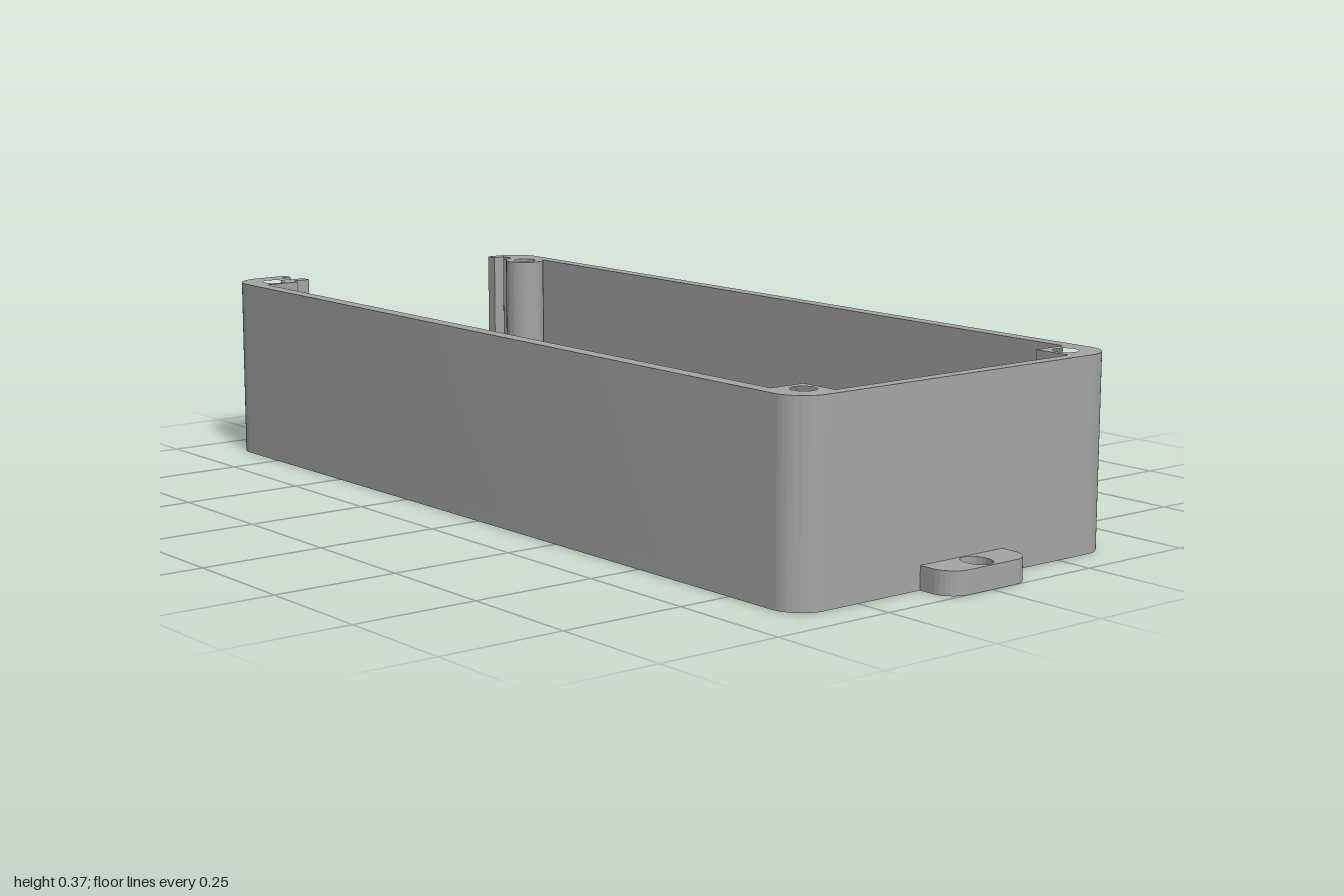
import * as THREE from 'three';
import { toCreasedNormals } from 'three/addons/utils/BufferGeometryUtils.js';

const plastic = new THREE.MeshStandardMaterial({ color: 0xa6a6a6 });
plastic.name = 'grey plastic';

const X0 = -0.93, X1 = 0.925, Z = 0.392, R = 0.065, H = 0.373, FLOOR = 0.03;

// Plan outlines are drawn as (x, -z) and extruded upwards from y0 to y1.
function extrudeUp(shape, y0, y1) {
  const geo = new THREE.ExtrudeGeometry(shape, { depth: y1 - y0, bevelEnabled: false, curveSegments: 16 });
  geo.rotateX(-Math.PI / 2).translate(0, y0, 0);
  return toCreasedNormals(geo, 0.6);
}

function roundHole(x, z, rx, rz = rx) {
  return new THREE.Path().absellipse(x, -z, rx, rz, 0, Math.PI * 2, true);
}

function roundedRect(x0, x1, z, r) {
  const s = new THREE.Shape();
  s.absarc(x1 - r, z - r, r, 0, Math.PI / 2);
  s.absarc(x0 + r, z - r, r, Math.PI / 2, Math.PI);
  s.absarc(x0 + r, r - z, r, Math.PI, Math.PI * 1.5);
  s.absarc(x1 - r, r - z, r, Math.PI * 1.5, Math.PI * 2);
  s.closePath();
  return s;
}

function ring(x, z, outer, inner) {
  const s = new THREE.Shape().absarc(x, -z, outer, 0, Math.PI * 2);
  s.holes.push(roundHole(x, z, inner));
  return s;
}

export function createModel() {
  const model = new THREE.Group();
  model.name = 'enclosureBase';
  const add = (name, geo, parent = model) => {
    const mesh = new THREE.Mesh(geo, plastic);
    mesh.name = name;
    parent.add(mesh);
    return mesh;
  };
  const box = (name, x0, x1, y0, y1, z0, z1) => add(name,
    new THREE.BoxGeometry(x1 - x0, y1 - y0, z1 - z0)
      .translate((x0 + x1) / 2, (y0 + y1) / 2, (z0 + z1) / 2));

  add('floor', extrudeUp(roundedRect(X0, X1, Z, R), 0, FLOOR));

  // Walls with three square screw posts and a grooved opening at the -x end
  const walls = new THREE.Shape();
  const inner = [
    [X0, 0.255], [-0.905, 0.255], [-0.905, 0.28], [-0.87, 0.28], [-0.87, 0.245], [-0.845, 0.245],
    [-0.845, 0.285], [-0.825, 0.285], [-0.825, 0.362], [0.82, 0.362], [0.82, 0.287], [0.9, 0.287],
    [0.9, -0.29], [0.82, -0.29], [0.82, -0.362], [-0.845, -0.362], [-0.845, -0.3], [-0.87, -0.3],
    [-0.87, -0.325], [-0.905, -0.325], [-0.905, -0.3], [X0, -0.3],
  ];
  inner.forEach(([x, z], i) => (i ? walls.lineTo(x, -z) : walls.moveTo(x, -z)));
  walls.absarc(X0 + R, Z - R, R, Math.PI, Math.PI / 2, true);
  walls.absarc(X1 - R, Z - R, R, Math.PI / 2, 0, true);
  walls.absarc(X1 - R, R - Z, R, 0, -Math.PI / 2, true);
  walls.absarc(X0 + R, R - Z, R, -Math.PI / 2, -Math.PI, true);
  walls.closePath();
  for (const [x, z] of [[-0.862, 0.323], [0.86, 0.323], [0.86, -0.326]]) {
    walls.holes.push(roundHole(x, z, 0.024));
  }
  add('walls', extrudeUp(walls, FLOOR, H));
  add('roundScrewPost', extrudeUp(ring(-0.82, -0.325, 0.043, 0.024), FLOOR, H));

  // Panel groove across the bottom of the opening
  box('outerSill', X0, -0.905, FLOOR, 0.06, -0.31, 0.265);
  box('grooveBottom', -0.905, -0.87, FLOOR, 0.04, -0.326, 0.281);
  box('innerSill', -0.87, -0.845, FLOOR, 0.057, -0.31, 0.255);

  // Mounting tabs: a rounded outer end and a screw slot
  const tab = (name, side, rootX, holeX, holeRx) => {
    const r = 0.045, w = 0.103, s = new THREE.Shape();
    s.moveTo(rootX, -w);
    s.lineTo(side * (1 - r), -w);
    s.absarc(side * (1 - r), r - w, r, -Math.PI / 2, side > 0 ? 0 : -Math.PI, side < 0);
    s.absarc(side * (1 - r), w - r, r, side > 0 ? 0 : Math.PI, Math.PI / 2, side < 0);
    s.lineTo(rootX, w);
    s.closePath();
    s.holes.push(roundHole(holeX, 0, holeRx, 0.026));
    add(name, extrudeUp(s, 0, 0.045));
  };
  tab('leftTab', 1, 0.88, 0.961, 0.033);
  tab('rightTab', -1, -0.92, -0.965, 0.026);

  // Board standoffs, each braced by four sloping fins
  const fin = new THREE.Shape([
    new THREE.Vector2(0.034, 0), new THREE.Vector2(0.125, 0),
    new THREE.Vector2(0.125, 0.008), new THREE.Vector2(0.034, 0.108),
  ]);
  const finGeo = new THREE.ExtrudeGeometry(fin, { depth: 0.034, bevelEnabled: false }).translate(0, 0, -0.017);
  for (const [x, z] of [[-0.476, -0.246], [0.48, -0.235], [-0.52, 0.225], [0.422, 0.225]]) {
    const standoff = new THREE.Group();
    standoff.name = 'standoff';
    standoff.position.set(x, FLOOR, z);
    add('standoffTube', extrudeUp(ring(0, 0, 0.043, 0.024), 0, 0.14), standoff);
    for (let i = 0; i < 4; i++) add('standoffFin', finGeo, standoff).rotation.y = i * Math.PI / 2;
    model.add(standoff);
  }
  return model;
}
